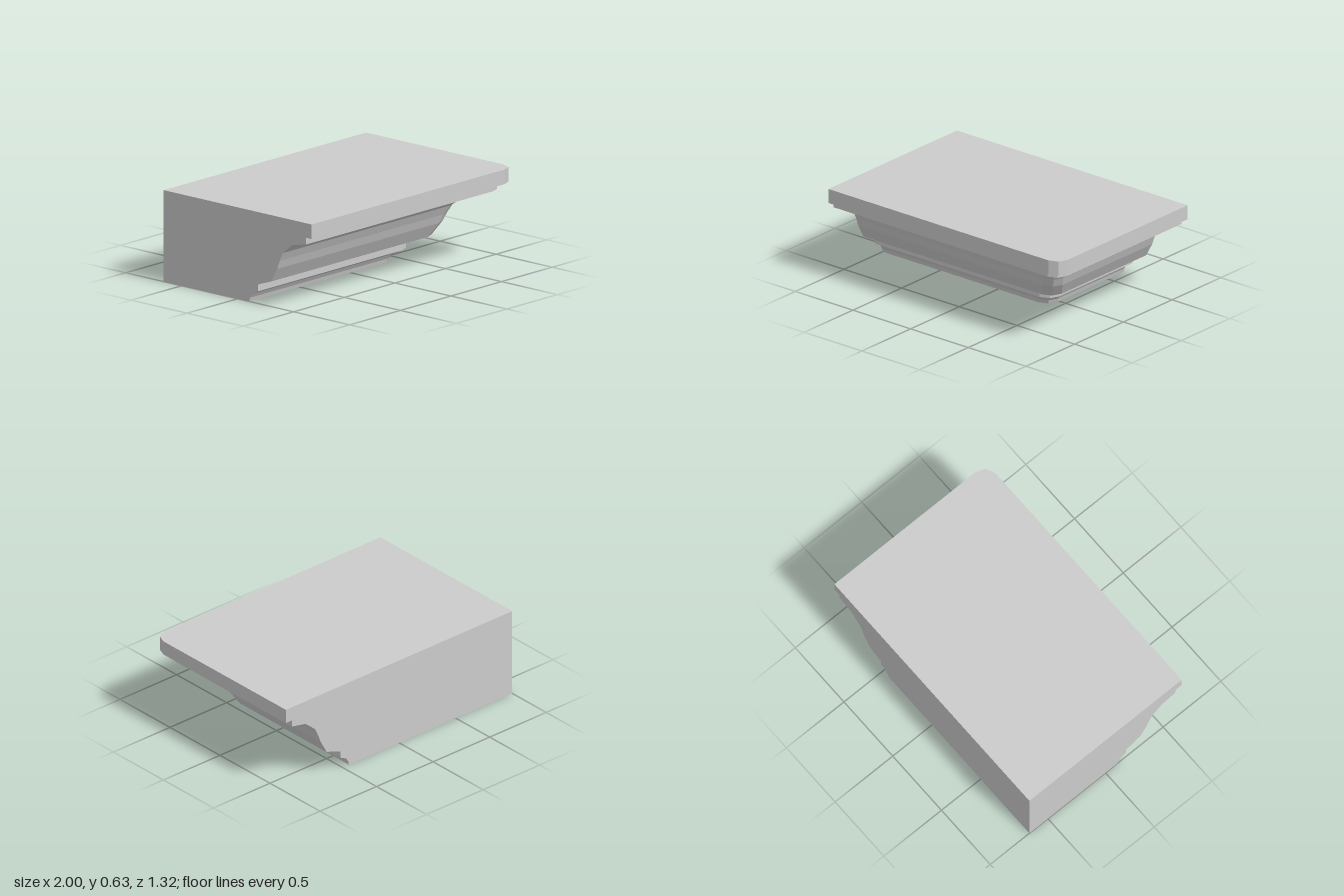
import * as THREE from 'three';

const BACK = -0.66, LEFT = -1, Z_SHIFT = 0.34; // cut planes; front z = right x - Z_SHIFT
const CUT = 0.093, MID = 0.027; // two-facet rounding of the front corner

// Horizontal outline whose right side reaches x = r, anticlockwise from above
function outline(r, y) {
  const f = r - Z_SHIFT;
  return [
    [LEFT, y, BACK], [LEFT, y, f], [r - CUT, y, f],
    [r - MID, y, f - MID], [r, y, f - CUT], [r, y, BACK],
  ];
}

// Skins a stack of outlines given as [reach, height], with optional end caps
function moulding(name, profile, capBottom = false, capTop = false) {
  const rings = profile.map(([r, y]) => outline(r, y));
  const n = rings[0].length, pos = [];
  const tri = (a, b, c) => pos.push(...a, ...b, ...c);
  for (let k = 0; k < rings.length - 1; k++) {
    const lo = rings[k], hi = rings[k + 1];
    for (let i = 0; i < n; i++) {
      const j = (i + 1) % n;
      tri(lo[i], lo[j], hi[j]);
      tri(lo[i], hi[j], hi[i]);
    }
  }
  const first = rings[0], last = rings[rings.length - 1];
  for (let i = 1; i < n - 1; i++) {
    if (capBottom) tri(first[0], first[i + 1], first[i]);
    if (capTop) tri(last[0], last[i], last[i + 1]);
  }
  const geometry = new THREE.BufferGeometry();
  geometry.setAttribute('position', new THREE.Float32BufferAttribute(pos, 3));
  geometry.computeVertexNormals();
  const mesh = new THREE.Mesh(geometry,
    new THREE.MeshStandardMaterial({ color: 0xcccccc, flatShading: true }));
  mesh.name = name;
  return mesh;
}

export function createModel() {
  const group = new THREE.Group();
  group.name = 'corniceCorner';
  group.add(
    // Small cove at the foot
    moulding('footCove', [[0.443, 0], [0.45, 0.027], [0.468, 0.056], [0.52, 0.083]], true),
    // Narrow band and the sloping underside above it
    moulding('lowerFillet', [[0.52, 0.083], [0.52, 0.13], [0.64, 0.172]]),
    // Large curved moulding
    moulding('mainCove', [[0.64, 0.172], [0.693, 0.267], [0.715, 0.327],
      [0.743, 0.385], [0.828, 0.456], [0.948, 0.48]]),
    // Upper band
    moulding('upperFillet', [[0.948, 0.48], [0.948, 0.527]]),
    // Top slab, starting with its overhanging ledge
    moulding('topSlab', [[0.948, 0.527], [1, 0.527], [1, 0.627]], false, true),
  );
  return group;
}
